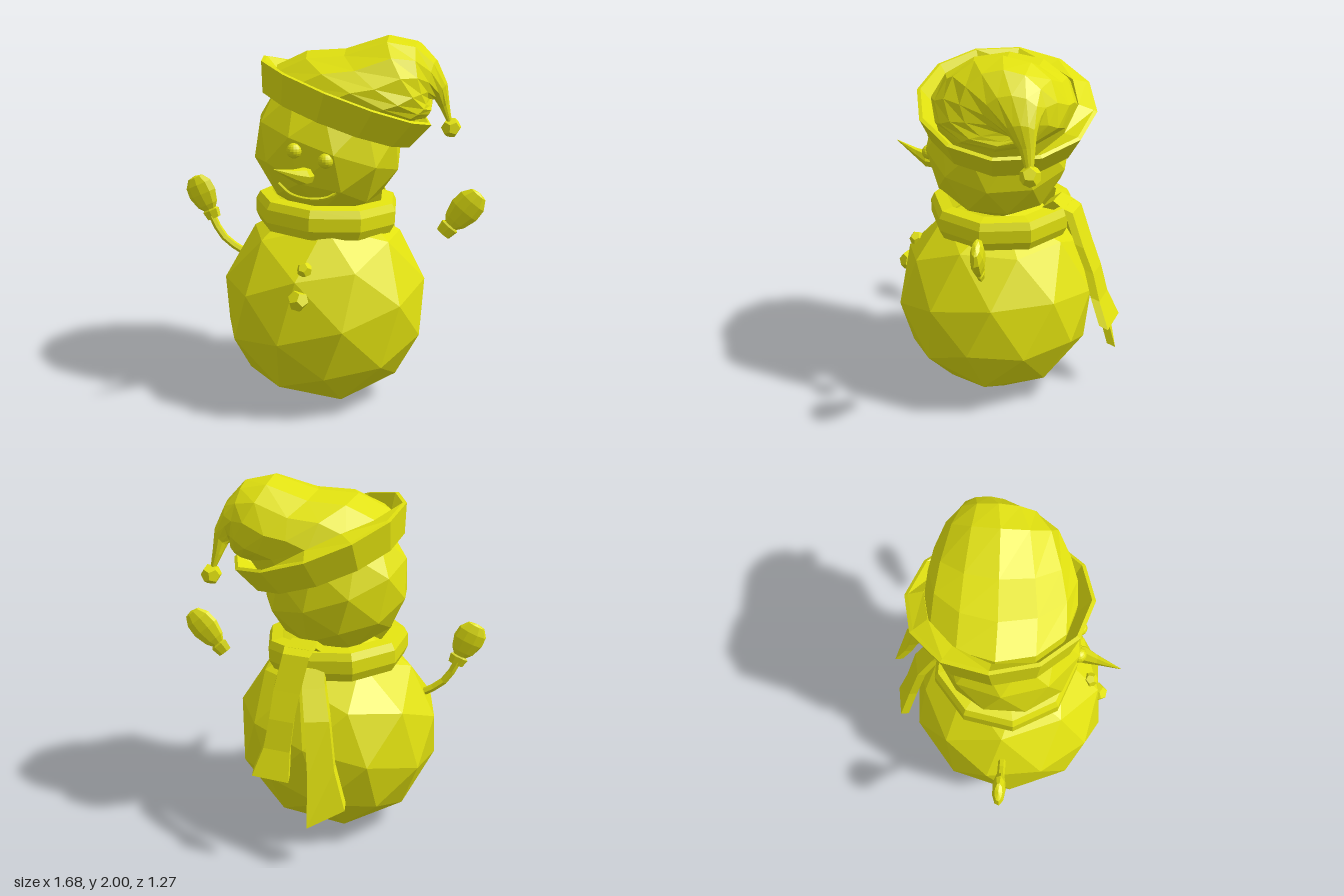
import * as THREE from 'three';

const V = (x, y, z) => new THREE.Vector3(x, y, z);

export function createModel() {
  const model = new THREE.Group();
  const yellow = new THREE.MeshStandardMaterial({ color: 0xe1e10f });
  yellow.name = 'yellow';
  yellow.flatShading = true;
  yellow.side = THREE.DoubleSide;

  const add = (name, geo, parent = model) => {
    const mesh = new THREE.Mesh(geo, yellow);
    mesh.name = name;
    parent.add(mesh);
    return mesh;
  };

  // Faceted ball, rolled and turned, then stretched to fill a box
  const ball = (name, min, max, roll, turn) => {
    const g = new THREE.IcosahedronGeometry(1, 1);
    g.rotateZ(roll).rotateY(turn);
    g.computeBoundingBox();
    const size = g.boundingBox.getSize(V(0, 0, 0));
    const mid = g.boundingBox.getCenter(V(0, 0, 0));
    g.translate(-mid.x, -mid.y, -mid.z);
    g.scale((max[0] - min[0]) / size.x, (max[1] - min[1]) / size.y, (max[2] - min[2]) / size.z);
    g.translate((min[0] + max[0]) / 2, (min[1] + max[1]) / 2, (min[2] + max[2]) / 2);
    g.computeVertexNormals();
    return add(name, g);
  };

  // Skin a list of equal-sized rings and cap both ends
  const loft = (rings) => {
    const n = rings[0].length, pos = [], idx = [];
    rings.forEach(r => r.forEach(p => pos.push(p.x, p.y, p.z)));
    for (let j = 0; j < rings.length - 1; j++)
      for (let k = 0; k < n; k++) {
        const a = j * n + k, b = j * n + (k + 1) % n;
        idx.push(a, b, b + n, a, b + n, a + n);
      }
    const last = (rings.length - 1) * n;
    for (let k = 1; k < n - 1; k++)
      idx.push(0, k + 1, k, last, last + k, last + k + 1);
    const g = new THREE.BufferGeometry();
    g.setAttribute('position', new THREE.Float32BufferAttribute(pos, 3));
    g.setIndex(idx);
    const flat = g.toNonIndexed();
    flat.computeVertexNormals();
    return flat;
  };
  const lathe = (pts, sides) =>
    new THREE.LatheGeometry(pts.map(p => new THREE.Vector2(p[0], p[1])), sides);

  // Snowballs
  ball('body', [-0.58, 0, -0.48], [0.52, 1.09, 0.6], -0.277, 0.4);
  ball('head', [-0.4, 1.04, -0.33], [0.375, 1.82, 0.42], 0.2, 0.3);

  // Face
  [[-0.10, 1.445, 0.41], [0.065, 1.40, 0.41]].forEach(p =>
    add('eye', new THREE.SphereGeometry(0.04, 14, 10)).position.set(...p));
  const noseRings = [[-0.035, 1.315, 0.38, 0.045], [-0.05, 1.32, 0.45, 0.045],
    [-0.08, 1.34, 0.51, 0.028], [-0.14, 1.39, 0.63, 0.002]].map(([x, y, z, r]) =>
    Array.from({ length: 7 }, (_, k) => {
      const t = k / 7 * Math.PI * 2;
      return V(x + r * Math.cos(t), y + r * Math.sin(t), z);
    }));
  add('nose', loft(noseRings));
  const smile = new THREE.CatmullRomCurve3([V(-0.21, 1.25, 0.32), V(-0.14, 1.205, 0.35),
    V(-0.03, 1.187, 0.37), V(0.07, 1.2, 0.355), V(0.125, 1.245, 0.335)]);
  add('mouth', new THREE.TubeGeometry(smile, 14, 0.009, 5));

  // Buttons
  [[-0.02, 0.85, 0.515, 0.041], [-0.04, 0.7, 0.565, 0.058]].forEach(([x, y, z, r], i) => {
    const button = add('button', new THREE.DodecahedronGeometry(r));
    button.position.set(x, y, z);
    button.rotation.set(0.4 + i, 0.3, 0.2);
  });

  // Scarf collar
  const collar = add('scarfCollar', lathe([[0.3, 0.01], [0.37, 0], [0.395, 0.05],
    [0.395, 0.12], [0.375, 0.16], [0.31, 0.17], [0.3, 0.01]], 9));
  collar.position.set(-0.025, 0.975, 0.03);
  collar.rotation.z = -0.04;

  // Scarf tails: each row is x, y, z, half width, slant
  const tail = (name, rows, twist) => {
    const w = V(Math.cos(twist), 0, Math.sin(twist));
    const d = V(0, 0.011, 0.024);
    const rings = rows.map(([x, y, z, h, slant = 0]) =>
      [[1, 1], [-1, 1], [-1, -1], [1, -1]].map(([s, t]) =>
        V(x, y - s * slant, z).addScaledVector(w, s * h).addScaledVector(d, t)));
    add(name, loft(rings));
  };
  tail('upperScarfTail', [[0.07, 1.13, -0.25, 0.07], [0.10, 1.18, -0.31, 0.07],
    [0.13, 1.15, -0.37, 0.075], [0.17, 0.97, -0.435, 0.075], [0.19, 0.83, -0.49, 0.07],
    [0.21, 0.68, -0.53, 0.075], [0.235, 0.54, -0.59, 0.105]], 0.25);
  tail('lowerScarfTail', [[0.05, 1.06, -0.32, 0.06], [0.04, 0.97, -0.37, 0.06],
    [0.01, 0.82, -0.455, 0.065], [-0.02, 0.55, -0.52, 0.07, 0.02],
    [-0.055, 0.32, -0.585, 0.1, 0.05]], -0.2);

  // Mittens, one on a twig arm
  const mitten = (name, x, y, tilt, length) => {
    const hand = new THREE.Group();
    hand.name = name;
    hand.position.set(x, y, 0.05);
    hand.rotation.z = tilt;
    hand.scale.set(1.06, length, 0.45);
    add('cuff', lathe([[0, -0.03], [0.04, -0.03], [0.05, 0.02], [0.03, 0.035]], 7), hand);
    add('palm', lathe([[0.03, 0.02], [0.06, 0.06], [0.08, 0.13], [0.075, 0.19],
      [0.045, 0.235], [0, 0.245]], 9), hand);
    model.add(hand);
  };
  mitten('rightMitten', -0.69, 0.99, 0.43, 0.95);
  mitten('leftMitten', 0.64, 0.985, -0.68, 1.1);
  const arm = new THREE.CatmullRomCurve3([V(-0.69, 0.98, 0.05), V(-0.65, 0.9, 0.05),
    V(-0.6, 0.84, 0.05), V(-0.5, 0.78, 0.05)]);
  add('rightArm', new THREE.TubeGeometry(arm, 4, 0.021, 6));

  // Upturned hat brim, its inside rising to meet the crown at the back
  const brimGeo = lathe([[0.32, 0.02], [0.38, 0], [0.43, 0.01], [0.495, 0.165],
    [0.475, 0.172], [0.39, 0.07]], 12);
  const p = brimGeo.attributes.position;
  for (let i = 0; i < p.count; i++) {
    const x = p.getX(i), z = p.getZ(i), r = Math.hypot(x, z);
    const back = Math.max(0, (-0.4 * x - 0.9 * z) / r);
    if (i % 6 === 5) p.setY(i, 0.07 + 0.14 * back);
    p.setZ(i, z * 0.96);
  }
  brimGeo.computeVertexNormals();
  const brim = add('hatBrim', brimGeo);
  brim.position.set(0.015, 1.55, 0.005);
  brim.rotation.set(-0.09, 0, -0.35);

  // Drooping hat crown: upper edge x, y, lower edge x, y, centre z, half depth
  const crown = [
    [-0.33, 1.7, 0.38, 1.46, 0.0, 0.37], [-0.31, 1.83, 0.45, 1.56, 0.0, 0.38],
    [-0.14, 1.91, 0.5, 1.57, 0.0, 0.37], [0.07, 1.925, 0.52, 1.59, -0.01, 0.34],
    [0.3, 2.0, 0.53, 1.61, -0.02, 0.28], [0.45, 1.97, 0.52, 1.63, -0.04, 0.21],
    [0.54, 1.87, 0.51, 1.66, -0.09, 0.14], [0.595, 1.74, 0.53, 1.65, -0.14, 0.075],
    [0.605, 1.63, 0.555, 1.6, -0.17, 0.04], [0.62, 1.52, 0.595, 1.52, -0.185, 0.02]];
  add('hatCrown', loft(crown.map(([ax, ay, bx, by, z, d]) =>
    Array.from({ length: 12 }, (_, k) => {
      const t = k / 12 * Math.PI * 2, c = Math.cos(t) / 2;
      return V((ax + bx) / 2 + (bx - ax) * c, (ay + by) / 2 + (by - ay) * c, z - d * Math.sin(t));
    }))));
  add('hatPompom', new THREE.DodecahedronGeometry(0.056)).position.set(0.615, 1.495, -0.19);

  return model;
}
